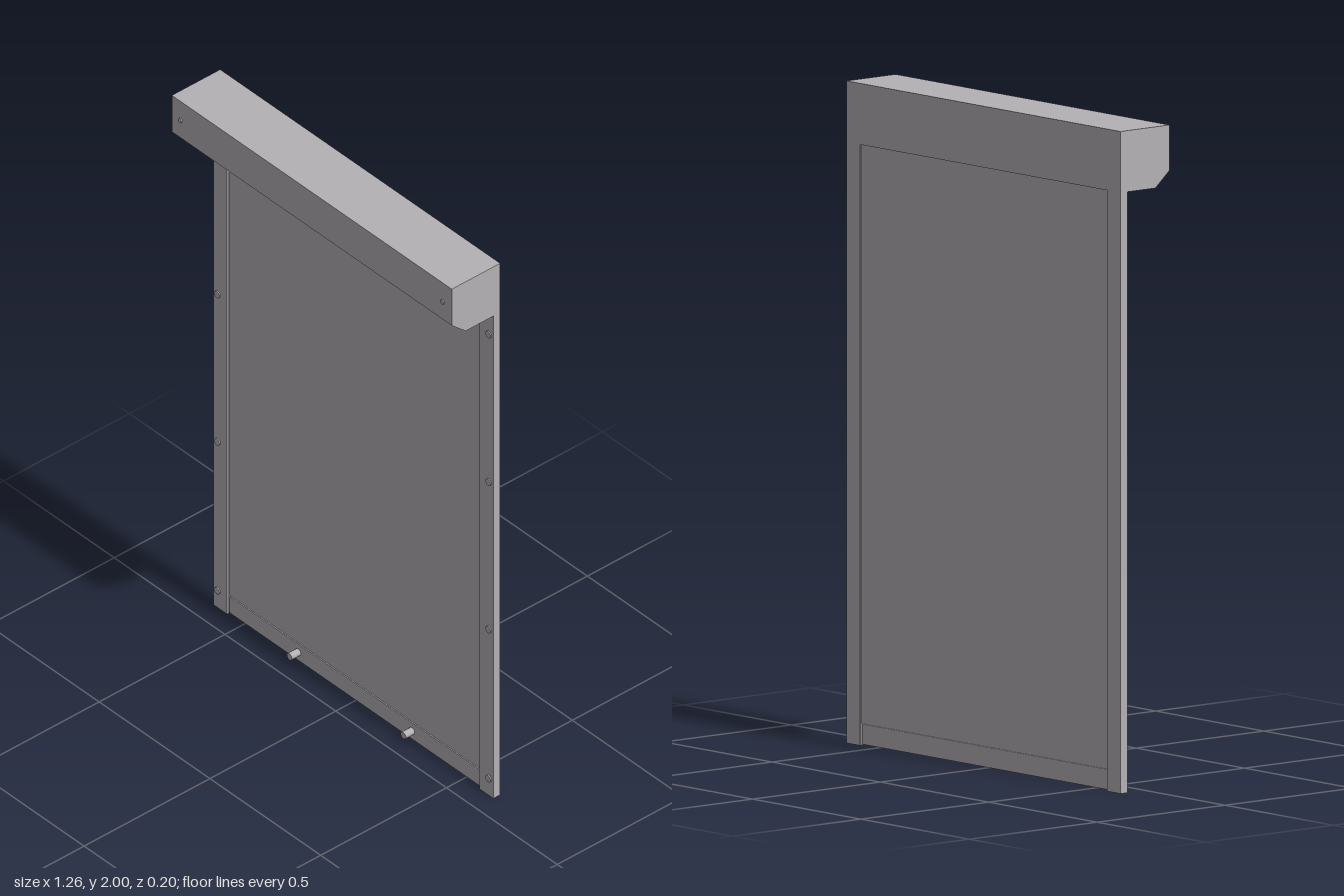
import * as THREE from 'three';

export function createModel() {
  const model = new THREE.Group();
  const aluminium = new THREE.MeshStandardMaterial({ color: 0xb4b1b4 });
  aluminium.name = 'aluminium grey';

  const add = (name, geometry, x = 0, y = 0, z = 0) => {
    const mesh = new THREE.Mesh(geometry, aluminium);
    mesh.name = name;
    mesh.position.set(x, y, z);
    model.add(mesh);
    return mesh;
  };
  // Box given by its limits on each axis
  const block = (name, x0, x1, y0, y1, z0, z1) =>
    add(name, new THREE.BoxGeometry(x1 - x0, y1 - y0, z1 - z0),
      (x0 + x1) / 2, (y0 + y1) / 2, (z0 + z1) / 2);
  // Short round part pointing forwards, its back at z
  const stud = (name, x, y, z, radius, length) => {
    const geometry = new THREE.CylinderGeometry(radius, radius, length, 20);
    geometry.rotateX(Math.PI / 2);
    add(name, geometry, x, y, z + length / 2);
  };

  // Shutter casing: side profile (z, y) with a chamfered lower front edge
  const profile = new THREE.Shape([
    [-0.097, 1.815], [0.04, 1.815], [0.095, 1.863], [0.095, 2], [-0.097, 2],
  ].map(([z, y]) => new THREE.Vector2(-z, y)));
  const casing = new THREE.ExtrudeGeometry(profile, { depth: 1.264, bevelEnabled: false });
  casing.translate(0, 0, -0.632);
  casing.rotateY(Math.PI / 2);
  add('casing', casing);

  // Curtain and bottom bar, set back from the rails
  block('curtain', -0.572, 0.572, 0.065, 1.816, -0.089, -0.081);
  block('bottomBar', -0.566, 0.566, 0.004, 0.065, -0.092, -0.077);

  for (const side of [-1, 1]) {
    // Guide rail: front and back flanges joined by an outer web
    const rail = (name, a, b, z0, z1) =>
      block(name, Math.min(side * a, side * b), Math.max(side * a, side * b), 0, 1.815, z0, z1);
    rail('railFrontFlange', 0.57, 0.632, -0.077, -0.07);
    rail('railBackFlange', 0.57, 0.632, -0.097, -0.092);
    rail('railWeb', 0.574, 0.632, -0.092, -0.077);

    for (const y of [0.065, 0.625, 1.18, 1.735]) {
      stud('railScrew', side * 0.612, y, -0.071, 0.012, 0.005);
    }
    stud('casingScrew', side * 0.592, 1.93, 0.094, 0.008, 0.005);
    stud('bottomStop', side * 0.257, 0.035, -0.078, 0.012, 0.036);
  }
  return model;
}
